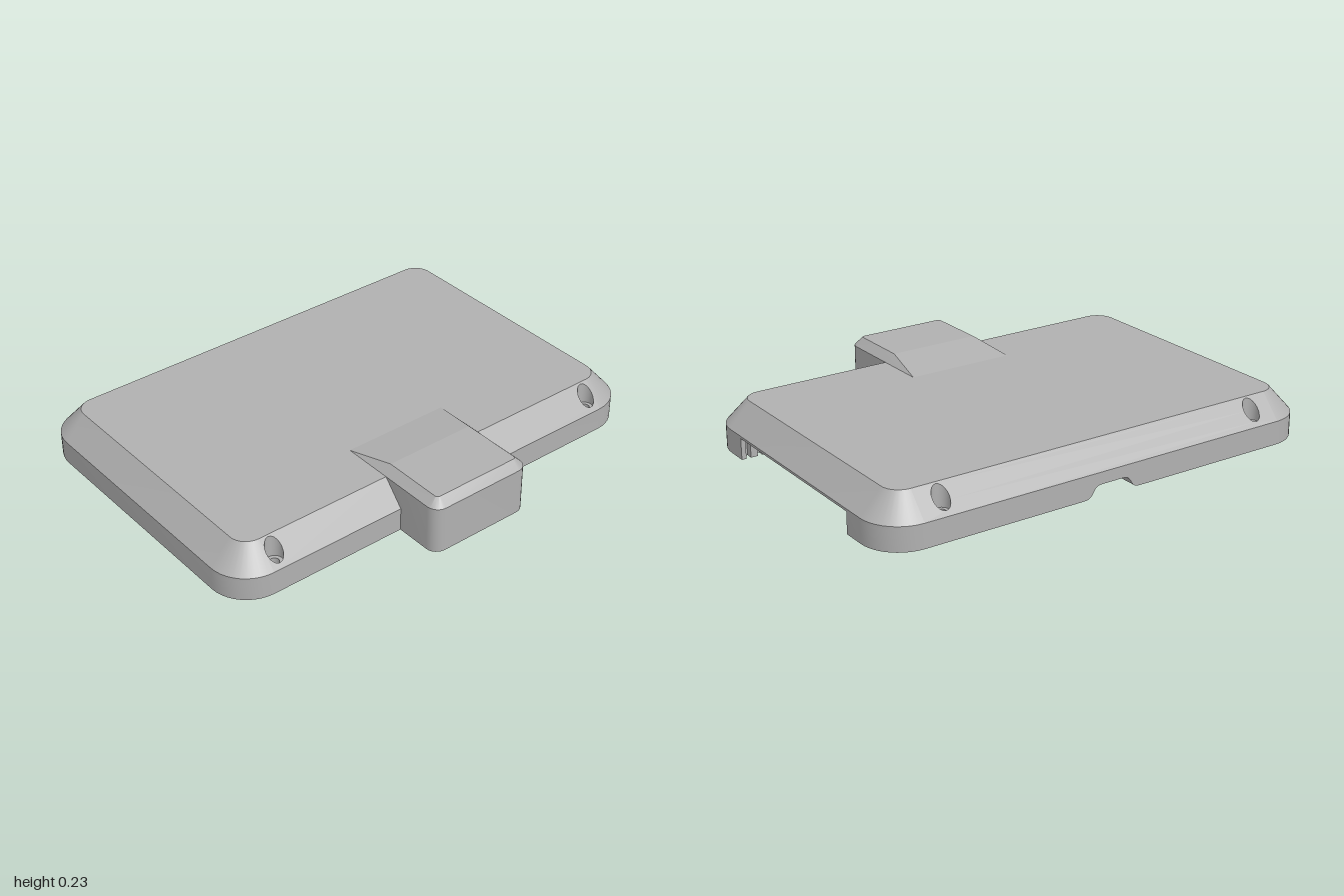
import * as THREE from 'three';
import { toCreasedNormals } from 'three/addons/utils/BufferGeometryUtils.js';

// Plan coordinates are (x, v) with v = -z, so counter-clockwise outlines face up.
const FRONT = -0.565, BACK = 0.77, R = 0.165, INSET = 0.09;
const EDGE_Y = 0.1, TOP_Y = 0.2, OPEN_Y = 0.09, CEIL_Y = 0.168;
const SCREWS = [[-0.797, -0.515], [0.797, -0.515], [-0.735, 0.72], [0.735, 0.72]];

export function createModel() {
  const grey = new THREE.MeshStandardMaterial({ color: 0xb0b0b0 });
  grey.name = 'grey plastic';
  const model = new THREE.Group();
  model.name = 'cover';

  const add = (name, geometry) => {
    const mesh = new THREE.Mesh(toCreasedNormals(geometry, 0.6), grey);
    mesh.name = name;
    model.add(mesh);
    return mesh;
  };
  const arc = (cx, cv, r, from, to, n = 10) => Array.from({ length: n + 1 }, (_, i) => {
    const a = (from + (to - from) * i / n) * Math.PI / 180;
    return [cx + r * Math.cos(a), cv + r * Math.sin(a)];
  });
  const rect = (x0, x1, v0, v1) => [[x0, v0], [x1, v0], [x1, v1], [x0, v1]];
  const shapeOf = (points, holes = []) => {
    const vec = list => list.map(p => new THREE.Vector2(p[0], p[1]));
    const shape = new THREE.Shape(vec(points));
    shape.holes = holes.map(h => new THREE.Path(vec(h)));
    return shape;
  };
  // Upright slab of a plan outline
  const slab = (name, points, holes, y0, y1) => add(name,
    new THREE.ExtrudeGeometry(shapeOf(points, holes), { depth: y1 - y0, bevelEnabled: false })
      .rotateX(-Math.PI / 2).translate(0, y0, 0));
  // Single face of a plan outline, lifted by a height rule
  const sheet = (name, points, holes, height, down = false) => {
    const g = new THREE.ShapeGeometry(shapeOf(points, holes));
    const p = g.attributes.position;
    for (let i = 0; i < p.count; i++) {
      const x = p.getX(i), v = p.getY(i);
      p.setXYZ(i, x, height(v), -v);
    }
    if (down) g.index.array.reverse();
    g.computeVertexNormals();
    return add(name, g);
  };
  // Wall between two plan outlines of equal length, each with its height rule
  const loft = (name, a, b, ya, yb) => {
    const low = a.map(([x, v]) => [x, ya(v), -v]);
    const high = b.map(([x, v]) => [x, yb(v), -v]);
    const pos = [];
    for (let i = 0; i + 1 < a.length; i++) {
      pos.push(...low[i], ...low[i + 1], ...high[i + 1], ...low[i], ...high[i + 1], ...high[i]);
    }
    const g = new THREE.BufferGeometry();
    g.setAttribute('position', new THREE.Float32BufferAttribute(pos, 3));
    g.computeVertexNormals();
    return add(name, g);
  };
  const at = y => () => y;
  const chamferY = v => EDGE_Y + (TOP_Y - EDGE_Y) *
    (v < 0 ? v - FRONT : BACK - v) / INSET;

  // Rounded body corners: front right, back right, back left, front left
  const corner = (i, inset = 0) => arc(
    (i === 0 || i === 1 ? 1 : -1) * (1 - R),
    i === 1 || i === 2 ? BACK - R : FRONT + R,
    R - inset, i * 90 - 90, i * 90);
  const screwHoles = (r, test) => SCREWS.filter(test).map(([x, v]) => arc(x, v, r, 0, 360, 20).slice(0, -1));
  const slot = s => rect(s * 0.27 - 0.07, s * 0.27 + 0.07, 0.655, 0.685);

  // Lower rim, open on the left side, with grooved ends at the opening
  const comb = (v, dir) => [0.98, 0.96, 0.93, 0.91].map((x, i) => [[x, v], [x, v + dir * 0.03]])
    .flatMap((pair, i) => i % 2 ? pair.reverse() : pair);
  slab('rimBackCorner', [
    [1, 0.51], ...corner(1), [0.13, BACK], [0.13, 0.6], [0.8, 0.6], [0.8, 0.51],
    ...comb(0.51, 1).reverse(),
  ], [slot(1), ...screwHoles(0.02, s => s[0] > 0 && s[1] > 0)], 0, OPEN_Y);
  slab('rimMain', [
    [-0.13, BACK], ...corner(2), ...corner(3), [-0.235, FRONT], [-0.235, -0.475],
    [0.235, -0.475], [0.235, FRONT], ...corner(0), [1, -0.31], ...comb(-0.31, -1),
    [0.88, -0.31], [0.88, -0.39], [-0.875, -0.39], [-0.875, 0.6], [-0.13, 0.6],
  ], [slot(-1), ...screwHoles(0.02, s => s[0] < 0 || s[1] < 0)], 0, OPEN_Y);

  // Arched cable notch in the back rim
  const arch = new THREE.Shape();
  arch.moveTo(-0.13, 0);
  arch.bezierCurveTo(-0.08, 0, -0.1, 0.05, -0.05, 0.05);
  arch.lineTo(0.05, 0.05);
  arch.bezierCurveTo(0.1, 0.05, 0.08, 0, 0.13, 0);
  arch.lineTo(0.13, OPEN_Y);
  arch.lineTo(-0.13, OPEN_Y);
  add('cableNotch', new THREE.ExtrudeGeometry(arch, { depth: BACK - 0.6, bevelEnabled: false })
    .translate(0, 0, -BACK));

  // Closed band above the rim, bridging the side opening
  const pocket = rect(-0.875, 0.88, -0.39, 0.6);
  slab('upperBand', [
    ...corner(1), ...corner(2), ...corner(3), [-0.235, FRONT], [-0.235, -0.475],
    [0.235, -0.475], [0.235, FRONT], ...corner(0),
  ], [pocket, ...screwHoles(0.02, () => true)], OPEN_Y, EDGE_Y);

  // Pocket walls and ceiling
  const inward = [...pocket, pocket[0]].reverse();
  loft('pocketWalls', inward, inward, at(EDGE_Y), at(CEIL_Y));
  sheet('pocketCeiling', pocket, [], at(CEIL_Y), true);

  // Sloped edges and top panel
  for (const [a, b, name] of [[0, 1, 'leftSlope'], [2, 3, 'rightSlope']]) {
    loft(name, [...corner(a), ...corner(b)], [...corner(a, INSET), ...corner(b, INSET)],
      at(EDGE_Y), at(TOP_Y));
  }
  const flat = 1 - R;
  sheet('backSlope', rect(-flat, flat, BACK - INSET, BACK),
    screwHoles(0.035, s => s[1] > 0), chamferY);
  for (const s of [-1, 1]) {
    sheet('frontSlope', rect(Math.min(s * 0.235, s * flat), Math.max(s * 0.235, s * flat), FRONT, FRONT + INSET),
      screwHoles(0.035, p => p[1] < 0 && p[0] * s > 0), chamferY);
  }
  sheet('topPanel', [0, 1, 2, 3].flatMap(i => corner(i, INSET)), [], at(TOP_Y));

  // Screw wells sunk into the slopes
  for (const [x, v] of SCREWS) {
    const ring = arc(x, v, 0.035, 360, 0, 20);
    loft('screwWell', ring, ring, at(EDGE_Y), chamferY);
  }

  // Hollow front housing
  const cavity = rect(-0.195, 0.195, -0.73, -0.525);
  const nose = (w, r, backV) => [[-w, backV],
    ...arc(-0.185, -0.715, r, 180, 270, 6), ...arc(0.185, -0.715, r, 270, 360, 6), [w, backV]];
  slab('housingWalls', nose(0.235, 0.05, -0.475), [cavity], 0, TOP_Y);
  sheet('housingCeiling', cavity, [], at(TOP_Y - 0.002), true);

  // Housing cap: sloped sides, flat top and a ramp down to the panel
  const capTop = nose(0.2, 0.015, -0.46);
  loft('housingCapEdge', nose(0.235, 0.05, -0.255), capTop, at(TOP_Y), at(0.235));
  sheet('housingCapTop', capTop, [], at(0.235));
  loft('housingRamp', [[0.235, -0.255], [-0.235, -0.255]], [[0.2, -0.46], [-0.2, -0.46]],
    at(TOP_Y), at(0.235));

  return model;
}
